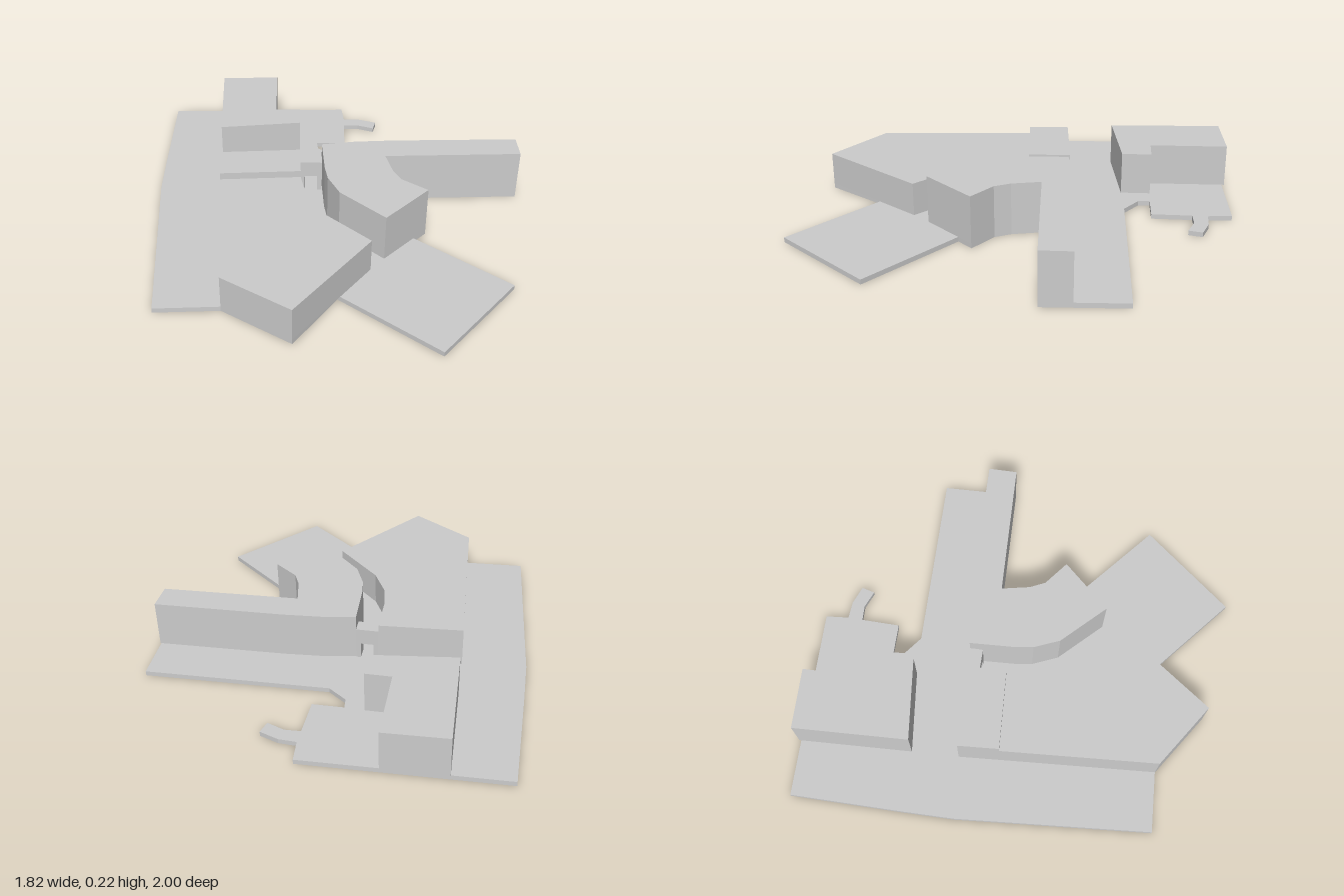
import * as THREE from 'three';

const SLAB = 0.02;

export function createModel() {
  const group = new THREE.Group();
  const material = new THREE.MeshStandardMaterial({ color: 0xcccccc, flatShading: true });

  // Raises a plan outline of [x, z] corners from one height to another
  function addPrism(name, plan, bottom, top) {
    const shape = new THREE.Shape(plan.map(([x, z]) => new THREE.Vector2(x, -z)));
    const geometry = new THREE.ExtrudeGeometry(shape, { depth: top - bottom, bevelEnabled: false });
    geometry.rotateX(-Math.PI / 2).translate(0, bottom, 0);
    const mesh = new THREE.Mesh(geometry, material);
    mesh.name = name;
    group.add(mesh);
  }

  // Front face of the long wing, shared with the edge of the slab
  const wingFront = [[0.66, 0.675], [0.27, 0.24], [0.195, 0.335], [0.165, 0.4], [0.17, 0.53]];

  // Ground slab with its terrace, curved walkway and forecourt
  addPrism('groundSlab', [
    [0.215, -1], [0.76, -0.38], [0.69, -0.31],
    [0.735, -0.25], [0.763, -0.17], [0.71, -0.145], [0.685, -0.22], [0.64, -0.27],
    [0.51, -0.165], [0.425, -0.265], [0.39, -0.23], [0.395, -0.13], [0.905, 0.455],
    ...wingFront,
    [0.09, 0.525], [0.09, 1], [-0.4, 1], [-0.4, 0.515], [-0.7, 0.545], [-0.735, 0.22],
    [-0.91, 0.03], [-0.32, -0.55], [-0.156, -0.69],
  ], 0, SLAB);

  // Long tall wing that bends round to the front
  addPrism('bentWing', [
    [0.17, -0.03], [0.28, 0.065], [0.39, 0.18], [0.755, 0.595],
    ...wingFront,
    [-0.1, 0.515], [-0.077, 0.265], [-0.024, 0.16], [0.03, 0.1],
  ], SLAB, 0.22);

  // Low wide wing
  addPrism('lowWing', [
    [-0.735, 0.22], [-0.255, -0.24], [-0.02, 0.01], [-0.114, 0.12],
    [-0.167, 0.245], [-0.19, 0.515], [-0.7, 0.545],
  ], SLAB, 0.16);

  // Raised block at the inner end of the low wing
  addPrism('raisedBlock', [[-0.13, -0.36], [0.113, -0.105], [-0.02, 0.01], [-0.255, -0.24]], SLAB, 0.19);

  // Separate L-shaped building at the back
  addPrism('rearBuilding', [
    [0.38, -0.825], [0.555, -0.63], [0.305, -0.415], [0.375, -0.33], [0.28, -0.25], [0.02, -0.495],
  ], SLAB, 0.2);

  // Covered link with a passage, joining the two wings
  const portal = new THREE.Shape([
    [0, 0], [0.02, 0], [0.02, 0.07], [0.075, 0.07], [0.075, 0],
    [0.095, 0], [0.095, 0.14], [0, 0.14],
  ].map(([x, y]) => new THREE.Vector2(x, y)));
  const link = new THREE.Mesh(new THREE.ExtrudeGeometry(portal, { depth: 0.06, bevelEnabled: false }), material);
  link.name = 'connectingLink';
  link.position.set(0.113, SLAB, -0.105);
  link.rotation.y = -0.88;
  group.add(link);

  return group;
}
